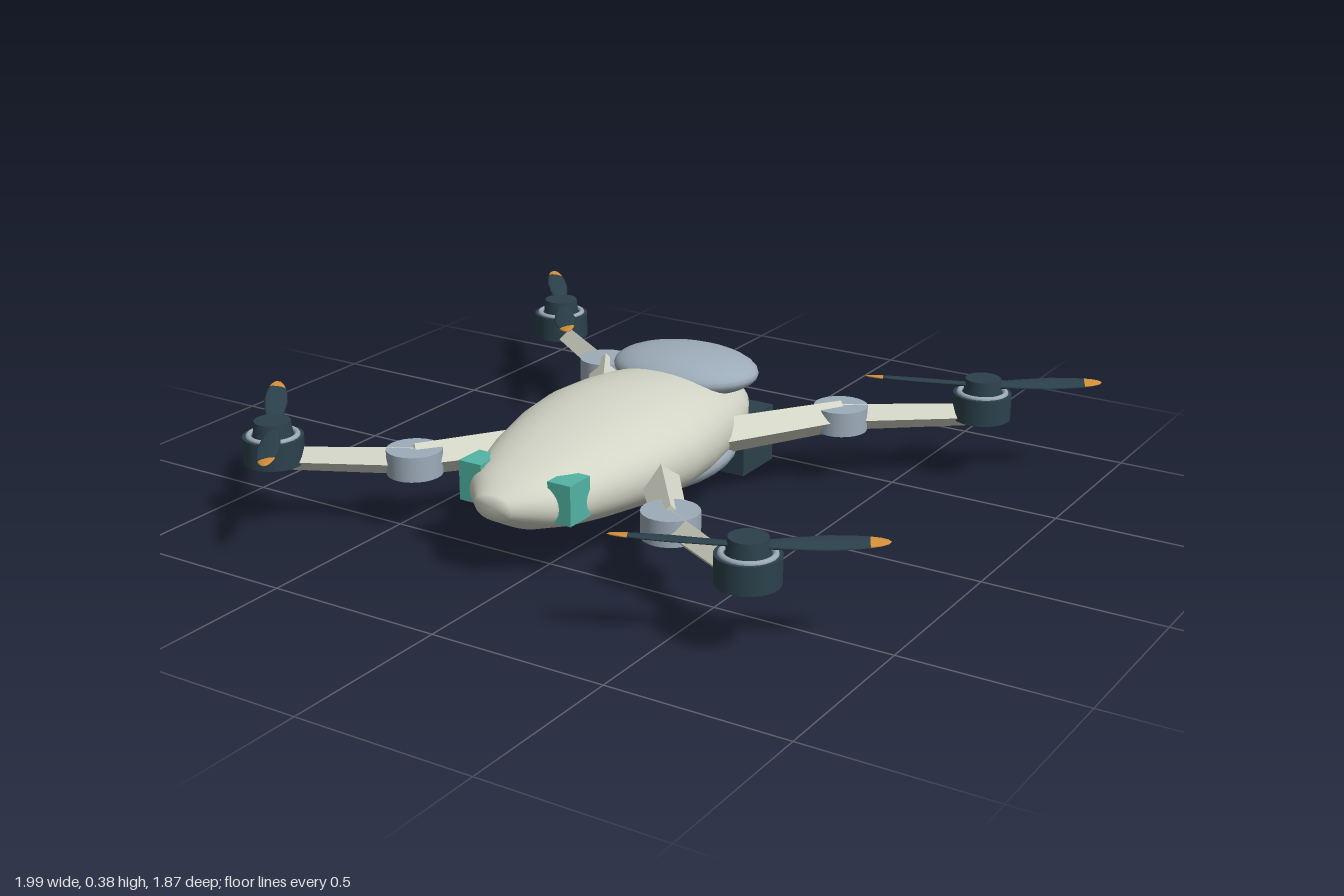
import * as THREE from 'three';

const mat = (name, color) => {
  const m = new THREE.MeshStandardMaterial({ color });
  m.name = name;
  return m;
};

// Lofts superellipse rings along +z; each section is [z, halfWidth, top, bottom]
function loft(sections, sides, power = 2) {
  const pos = [], index = [];
  const round = (v) => Math.sign(v) * Math.abs(v) ** (2 / power);
  for (const [z, w, top, bottom] of sections) {
    for (let j = 0; j < sides; j++) {
      const a = (j / sides) * Math.PI * 2;
      pos.push(w * round(Math.cos(a)), (top + bottom) / 2 + ((top - bottom) / 2) * round(Math.sin(a)), z);
    }
  }
  for (let i = 0; i < sections.length - 1; i++) {
    for (let j = 0; j < sides; j++) {
      const k = (j + 1) % sides;
      const a = i * sides + j, b = i * sides + k, c = b + sides, d = a + sides;
      index.push(a, b, c, a, c, d);
    }
  }
  const g = new THREE.BufferGeometry();
  g.setAttribute('position', new THREE.Float32BufferAttribute(pos, 3));
  g.setIndex(index);
  g.computeVertexNormals();
  return g;
}

export function createModel() {
  const shell = mat('ivory shell', 0xd2d5c6);
  const grey = mat('blue grey', 0x9dacb9);
  const dark = mat('dark slate', 0x2c414c);
  const teal = mat('teal light', 0x52b5a5);
  const orange = mat('orange tip', 0xd59039);
  const glass = mat('lens blue', 0x2f7088);
  const armShell = shell.clone();
  armShell.flatShading = true;
  armShell.name = 'ivory arm';

  const root = new THREE.Group();
  root.name = 'quadcopter';
  const drone = new THREE.Group();
  drone.name = 'drone';
  drone.position.x = -0.045;
  root.add(drone);

  const add = (parent, name, geometry, material, x = 0, y = 0, z = 0) => {
    const m = new THREE.Mesh(geometry, material);
    m.name = name;
    m.position.set(x, y, z);
    parent.add(m);
    return m;
  };

  // Fuselage, with flat ends closed by zero-size sections
  add(drone, 'fuselage', loft([
    [-0.43, 0, 0.21, 0.21],
    [-0.43, 0.08, 0.255, 0.165],
    [-0.38, 0.135, 0.275, 0.13],
    [-0.3, 0.18, 0.305, 0.1],
    [-0.2, 0.215, 0.333, 0.08],
    [-0.1, 0.24, 0.352, 0.068],
    [0, 0.258, 0.362, 0.064],
    [0.12, 0.267, 0.365, 0.065],
    [0.25, 0.252, 0.355, 0.073],
    [0.4, 0.216, 0.33, 0.09],
    [0.5, 0.183, 0.307, 0.105],
    [0.6, 0.135, 0.28, 0.13],
    [0.68, 0.058, 0.245, 0.175],
    [0.68, 0, 0.21, 0.21],
  ], 40, 2.15), shell);

  // Canopy and belly panel
  const ball = new THREE.SphereGeometry(1, 32, 18);
  add(drone, 'canopy', ball, grey, 0, 0.323, -0.25).scale.set(0.22, 0.06, 0.167);
  add(drone, 'bellyPanel', ball, grey, 0, 0.137, -0.045).scale.set(0.237, 0.08, 0.3);

  // Camera and lens at the back
  const camera = new THREE.Group();
  camera.name = 'camera';
  camera.position.set(0, 0.085, -0.395);
  drone.add(camera);
  add(camera, 'cameraHousing', new THREE.BoxGeometry(0.32, 0.17, 0.17), dark);
  add(camera, 'lensRing', new THREE.CylinderGeometry(0.076, 0.076, 0.04, 28), grey, 0, 0, -0.098).rotation.x = Math.PI / 2;
  add(camera, 'lens', new THREE.CylinderGeometry(0.056, 0.056, 0.05, 28), glass, 0, 0, -0.11).rotation.x = Math.PI / 2;

  // Nose lights
  for (const s of [-1, 1]) {
    add(drone, 'noseLight', new THREE.BoxGeometry(0.07, 0.11, 0.09), teal, s * 0.14, 0.22, 0.545);
  }

  // Four-sided tapered beam between two points
  const beam = (name, from, to, r0, r1) => {
    const a = new THREE.Vector3(...from), b = new THREE.Vector3(...to);
    const g = new THREE.CylinderGeometry(r1, r0, a.distanceTo(b), 4);
    g.rotateX(Math.PI / 2);
    const m = add(drone, name, g, armShell);
    m.position.copy(a).add(b).multiplyScalar(0.5);
    m.lookAt(b.x - 0.045, b.y, b.z);
    m.rotation.set(0, Math.atan2(b.x - a.x, b.z - a.z), 0);
  };

  // Propeller blades point along +z before being turned
  const bladeGeo = loft([
    [0, 0.016, 0.007, -0.007], [0.05, 0.019, 0.007, -0.007], [0.12, 0.028, 0.006, -0.006],
    [0.19, 0.033, 0.006, -0.006], [0.25, 0.029, 0.005, -0.005], [0.285, 0.024, 0.005, -0.005],
  ], 12);
  const tipGeo = loft([
    [0.285, 0.024, 0.005, -0.005], [0.31, 0.018, 0.004, -0.004],
    [0.327, 0.01, 0.003, -0.003], [0.335, 0, 0, 0],
  ], 12);

  // Arm, folding joint, motor and propeller for each corner
  const corners = [
    { s: 1, root: [0.19, 0.2], joint: [0.407, 0.485], motor: [0.737, 0.67], turn: Math.atan2(0.3, -0.16) },
    { s: -1, root: [0.19, 0.2], joint: [0.407, 0.485], motor: [0.743, 0.67], turn: Math.atan2(0.21, 0.26) },
    { s: 1, root: [0.19, -0.1], joint: [0.402, -0.44], motor: [0.73, -0.68], turn: Math.atan2(0.3, -0.155) },
    { s: -1, root: [0.19, -0.1], joint: [0.402, -0.44], motor: [0.73, -0.677], turn: Math.atan2(0.205, 0.26) },
  ];
  for (const { s, root: r, joint: j, motor: m, turn } of corners) {
    beam('innerArm', [s * r[0], 0.197, r[1]], [s * j[0], 0.192, j[1]], 0.054, 0.046);
    beam('outerArm', [s * j[0], 0.19, j[1]], [s * m[0], 0.19, m[1]], 0.039, 0.033);
    add(drone, 'armJoint', new THREE.CylinderGeometry(0.077, 0.077, 0.07, 24), grey, s * j[0], 0.192, j[1]);

    const motor = new THREE.Group();
    motor.name = 'motor';
    motor.position.set(s * m[0], 0, m[1]);
    drone.add(motor);
    add(motor, 'motorCan', new THREE.CylinderGeometry(0.083, 0.083, 0.075, 28), dark, 0, 0.218, 0);
    const ring = add(motor, 'motorRing', new THREE.TorusGeometry(0.066, 0.008, 8, 28), grey, 0, 0.256, 0);
    ring.rotation.x = Math.PI / 2;
    add(motor, 'rotorHub', new THREE.CylinderGeometry(0.05, 0.055, 0.045, 24), dark, 0, 0.276, 0);

    const propeller = new THREE.Group();
    propeller.name = 'propeller';
    propeller.position.y = 0.277;
    propeller.rotation.y = turn;
    motor.add(propeller);
    for (const half of [0, Math.PI]) {
      const blade = new THREE.Group();
      blade.name = 'blade';
      blade.rotation.set(-0.055, half, 0.2, 'YXZ');
      add(blade, 'bladeBody', bladeGeo, dark);
      add(blade, 'bladeTip', tipGeo, orange);
      propeller.add(blade);
    }
  }
  return root;
}
